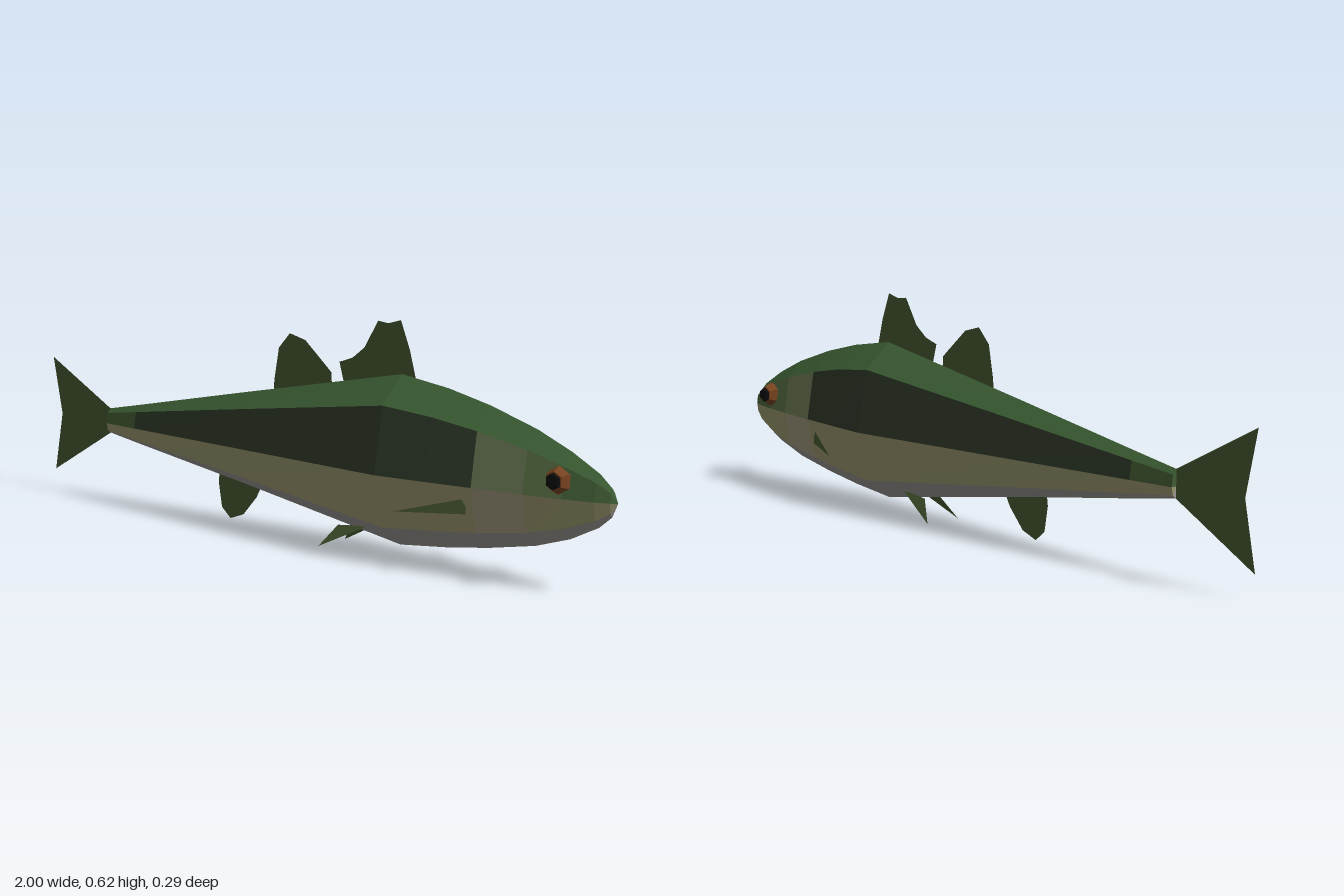
import * as THREE from 'three';

const MID = 0.23;   // height of the widest line of the body
const K = 0.707;    // octagonal section ratio

// Body stations: x, top y, bottom y, half width (end stations close the body)
const STATIONS = [
  [-0.75, MID, MID, 0], [-0.75, 0.273, 0.2, 0.016], [-0.62, 0.297, 0.18, 0.027],
  [-0.2, 0.376, 0.118, 0.063], [0.35, 0.477, 0.031, 0.111], [0.5, 0.455, 0.047, 0.095],
  [0.63, 0.425, 0.066, 0.08], [0.77, 0.381, 0.093, 0.062], [0.87, 0.338, 0.125, 0.045],
  [0.95, 0.294, 0.165, 0.026], [0.985, 0.263, 0.195, 0.012], [1, MID, MID, 0],
];

const COLORS = {
  back: 0x3c5e34, dark: 0x2f3a29, tailSide: 0x455c34, cheek: 0x6c7a57,
  face: 0x5a7044, snout: 0x466438, flank: 0x96936a, gill: 0x9c9478,
  belly: 0x9a9691, fin: 0x47572f, iris: 0x7a4420, pupil: 0x0c0c0c,
};

function material(color) {
  return new THREE.MeshStandardMaterial({ color: COLORS[color], flatShading: true, side: THREE.DoubleSide });
}

function addMesh(parent, name, geometry, color) {
  const mesh = new THREE.Mesh(geometry, material(color));
  mesh.name = name;
  parent.add(mesh);
  return mesh;
}

// Points of half a section, from the back ridge down to the keel
function halfSection([x, top, bottom, w]) {
  return [
    [x, top, 0], [x, MID + K * (top - MID), K * w], [x, MID, w],
    [x, MID - K * (MID - bottom), K * w], [x, bottom, 0],
  ];
}

function triangles(points) {
  const geometry = new THREE.BufferGeometry();
  geometry.setAttribute('position', new THREE.Float32BufferAttribute(points.flat(), 3));
  geometry.computeVertexNormals();
  return geometry;
}

// One lengthwise band of the body on both sides, between two stations
function bandGeometry(band, from, to) {
  const points = [];
  for (const side of [1, -1]) {
    for (let i = from; i < to; i++) {
      const a = halfSection(STATIONS[i]), b = halfSection(STATIONS[i + 1]);
      const quad = [a[band + 1], b[band + 1], b[band], a[band]].map(([x, y, z]) => [x, y, z * side]);
      if (side < 0) quad.reverse();
      points.push(quad[0], quad[1], quad[2], quad[0], quad[2], quad[3]);
    }
  }
  return triangles(points);
}

// Flat fin standing in the middle plane
function finGeometry(outline) {
  return new THREE.ShapeGeometry(new THREE.Shape(outline.map(([x, y]) => new THREE.Vector2(x, y))));
}

export function createModel() {
  const fish = new THREE.Group();
  fish.name = 'fish';

  // Body bands with their colour patches: name, band, first and last station, colour
  const body = new THREE.Group();
  body.name = 'body';
  fish.add(body);
  const last = STATIONS.length - 1;
  const patches = [
    ['back', 0, 0, last, 'back'],
    ['tailSide', 1, 0, 2, 'tailSide'],
    ['darkSide', 1, 2, 6, 'dark'],
    ['cheek', 1, 6, 7, 'cheek'],
    ['face', 1, 7, 8, 'face'],
    ['snout', 1, 8, last, 'snout'],
    ['flank', 2, 0, 6, 'flank'],
    ['gillCover', 2, 6, 7, 'gill'],
    ['jaw', 2, 7, last, 'flank'],
    ['belly', 3, 0, last, 'belly'],
  ];
  for (const [name, band, from, to, color] of patches) {
    addMesh(body, name, bandGeometry(band, from, to), color);
  }

  // Fins on the middle plane
  const fins = {
    frontDorsalFin: [[0.16, 0.42], [0.14, 0.49], [0.185, 0.505], [0.225, 0.535], [0.27, 0.608],
      [0.305, 0.604], [0.345, 0.615], [0.375, 0.54], [0.4, 0.45]],
    rearDorsalFin: [[-0.095, 0.38], [-0.092, 0.42], [-0.075, 0.51], [-0.035, 0.552], [0.02, 0.538],
      [0.065, 0.5], [0.112, 0.46], [0.115, 0.41]],
    analFin: [[-0.3, 0.15], [-0.305, 0.11], [-0.293, 0.04], [-0.26, 0.012], [-0.21, 0.03],
      [-0.16, 0.085], [-0.14, 0.12]],
    tailFin: [[-0.75, 0.273], [-1, 0.405], [-0.965, 0.235], [-1, 0.06], [-0.75, 0.2]],
  };
  for (const [name, outline] of Object.entries(fins)) addMesh(fish, name, finGeometry(outline), 'fin');

  // Eye profiles, turned around the sideways axis
  const v = (r, h) => new THREE.Vector2(r, h);
  const irisProfile = [v(0, 0.015), v(0.026, 0.027), v(0.035, 0.045), v(0.025, 0.066), v(0, 0.07)];
  const pupilProfile = [v(0.023, 0.062), v(0.019, 0.074), v(0, 0.077)];

  // Paired parts
  for (const [label, s] of [['left', 1], ['right', -1]]) {
    // The fish faces +x, so its flanks lie at +z and -z
    addMesh(fish, label + 'PectoralFin',
      triangles([[0.61, 0.2, 0.072 * s], [0.61, 0.16, 0.072 * s], [0.44, 0.155, 0.145 * s]]), 'fin');
    addMesh(fish, label + 'PelvicFin',
      triangles([[0.16, 0.06, 0.027 * s], [0.26, 0.07, 0.024 * s], [0.115, 0, 0.055 * s]]), 'fin');

    const eye = new THREE.Group();
    eye.name = label + 'Eye';
    eye.position.set(0.862, 0.275, 0);
    eye.rotation.x = s * Math.PI / 2;
    addMesh(eye, 'iris', new THREE.LatheGeometry(irisProfile, 6), 'iris');
    addMesh(eye, 'pupil', new THREE.LatheGeometry(pupilProfile, 6), 'pupil');
    fish.add(eye);
  }

  return fish;
}
